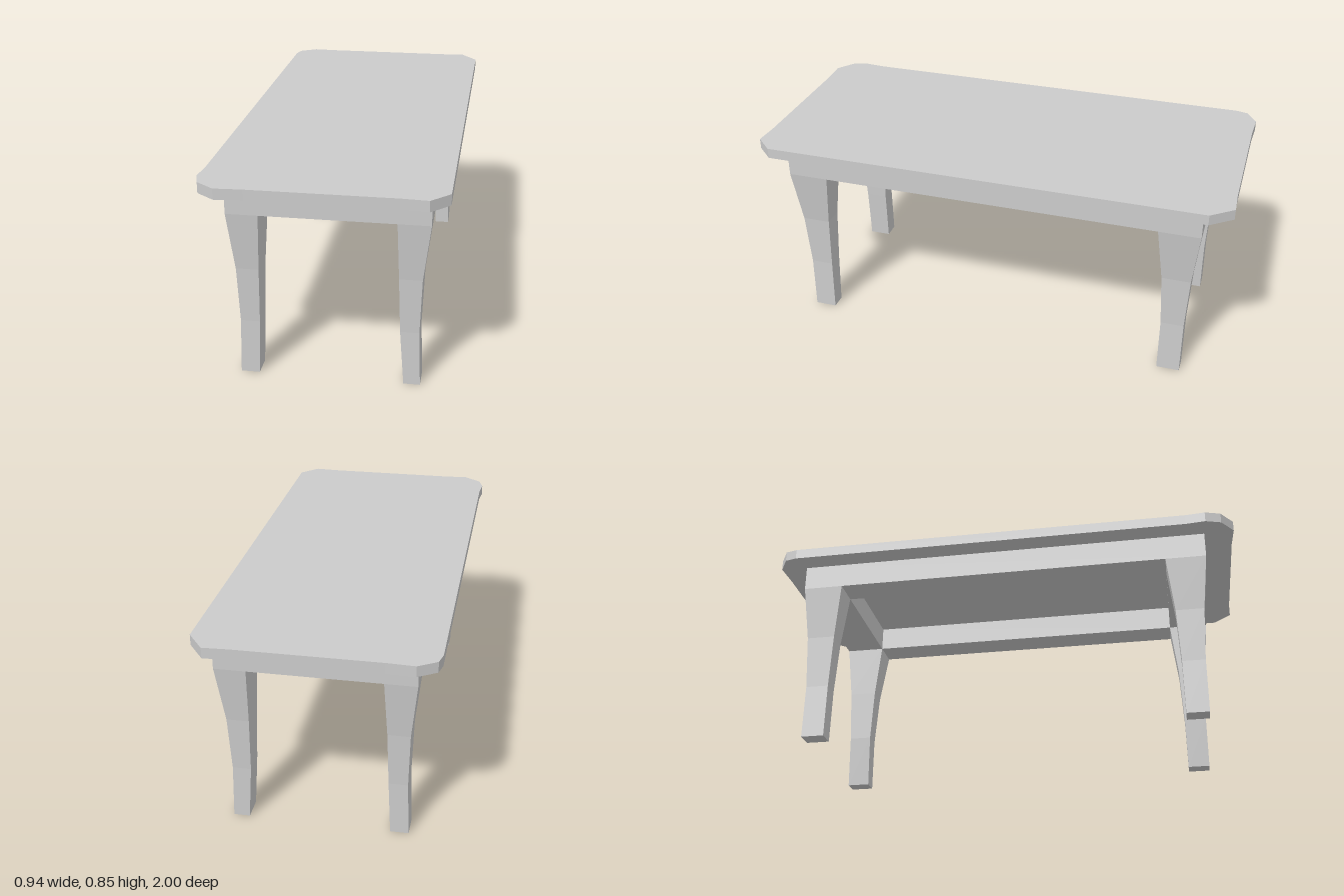
import * as THREE from 'three';

const material = new THREE.MeshStandardMaterial({ color: 0xcccccc, flatShading: true });

// Horizontal slab: outline given as [x, z], spanning y = bottom..top
function slab(name, outline, bottom, top, hole) {
  const toPoints = list => list.map(([x, z]) => new THREE.Vector2(x, z));
  const shape = new THREE.Shape(toPoints(outline));
  if (hole) shape.holes.push(new THREE.Path(toPoints(hole)));
  const geometry = new THREE.ExtrudeGeometry(shape, { depth: top - bottom, bevelEnabled: false });
  geometry.rotateX(Math.PI / 2).translate(0, top, 0);
  const mesh = new THREE.Mesh(geometry, material);
  mesh.name = name;
  return mesh;
}

const rectangle = (x0, x1, z0, z1) => [[x0, z0], [x1, z0], [x1, z1], [x0, z1]];

// Leg: a box whose four rings follow the given [min, max] ranges, floor to apron
const legHeights = [0, 0.23, 0.46, 0.695];
function leg(name, xRanges, zRanges) {
  const geometry = new THREE.BoxGeometry(1, 1, 1, 1, 3, 1);
  const p = geometry.attributes.position;
  for (let i = 0; i < p.count; i++) {
    const ring = Math.round((p.getY(i) + 0.5) * 3);
    const x = xRanges[ring][p.getX(i) > 0 ? 1 : 0];
    const z = zRanges[ring][p.getZ(i) > 0 ? 1 : 0];
    p.setXYZ(i, x, legHeights[ring], z);
  }
  geometry.computeVertexNormals();
  const mesh = new THREE.Mesh(geometry, material);
  mesh.name = name;
  return mesh;
}

export function createModel() {
  const table = new THREE.Group();
  table.name = 'table';

  // Top with unevenly clipped corners
  table.add(slab('tableTop', [
    [-0.38, -1], [-0.27, -0.995], [0.29, -0.995], [0.395, -1],
    [0.465, -0.91], [0.465, 0.925], [0.395, 0.998],
    [0.29, 0.992], [-0.27, 0.992], [-0.38, 0.998],
    [-0.452, 0.945], [-0.472, 0.88], [-0.464, 0.8],
    [-0.464, -0.905], [-0.452, -0.955],
  ], 0.802, 0.845));

  // Thick frame under the top, as wide as the leg tops
  table.add(slab('apron',
    rectangle(-0.375, 0.395, -0.885, 0.875), 0.695, 0.802,
    rectangle(-0.25, 0.27, -0.715, 0.705)));

  // Tapered legs, slightly bowed
  const sides = {
    Right: [[-0.35, -0.276], [-0.343, -0.267], [-0.35, -0.261], [-0.375, -0.25]],
    Left: [[0.298, 0.363], [0.282, 0.356], [0.276, 0.365], [0.27, 0.395]],
  };
  const ends = {
    front: [[0.745, 0.837], [0.743, 0.838], [0.732, 0.85], [0.705, 0.875]],
    back: [[-0.849, -0.753], [-0.849, -0.753], [-0.86, -0.741], [-0.885, -0.715]],
  };
  for (const end in ends)
    for (const side in sides)
      table.add(leg(`${end}${side}Leg`, sides[side], ends[end]));

  return table;
}
